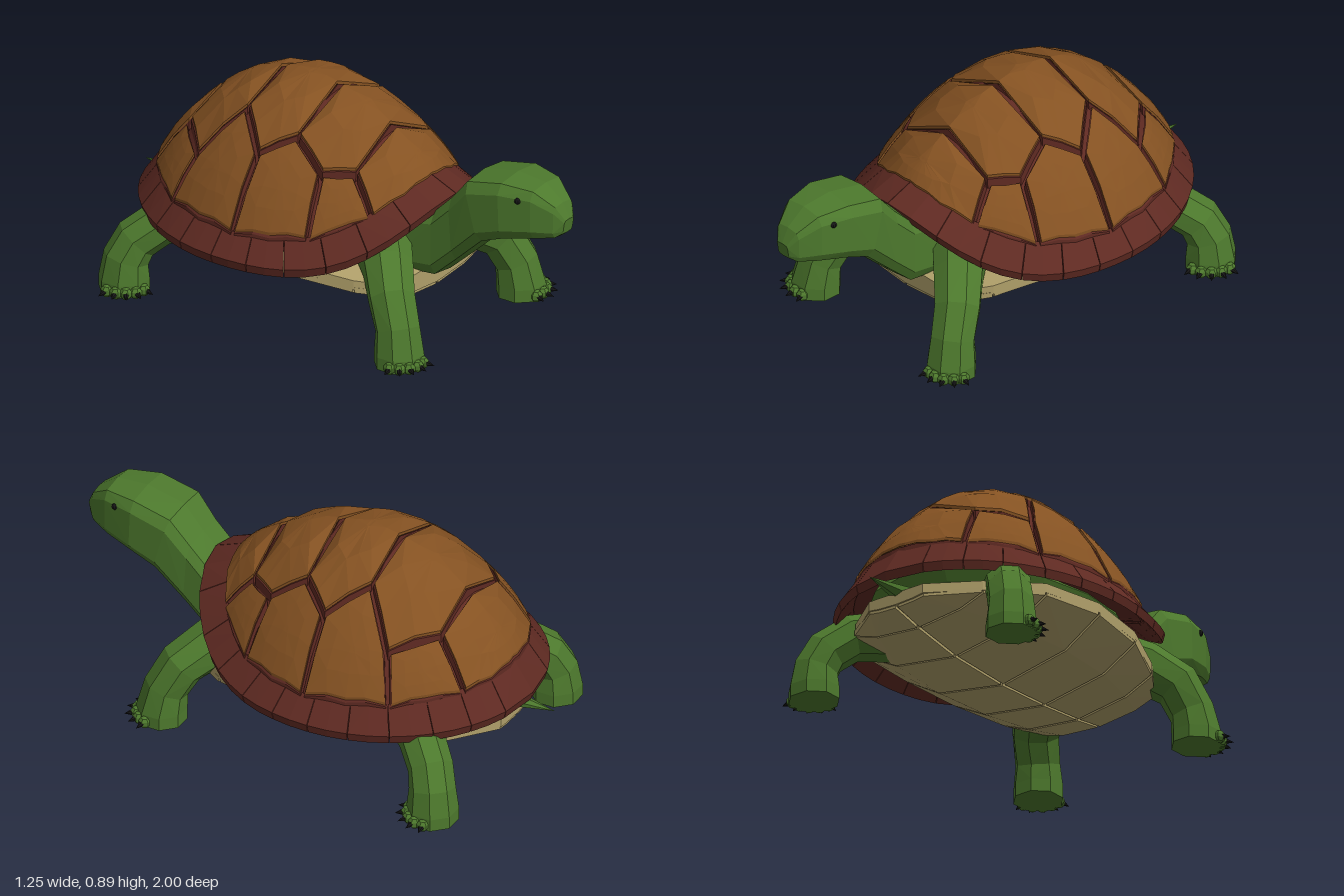
import * as THREE from 'three';

const V = (x, y, z) => new THREE.Vector3(x, y, z);
const mat = (name, color) => Object.assign(new THREE.MeshStandardMaterial({ color, flatShading: true }), { name });
const rad = THREE.MathUtils.degToRad;

// Skin over closed rings that run counter-clockwise about the direction of travel; capped at both ends.
// Each quad is split along the diagonal that bulges outward.
function loft(rings) {
  const pos = [];
  const tri = (...pts) => pts.forEach(p => pos.push(p.x, p.y, p.z));
  const centre = ring => ring.reduce((s, p) => s.add(p), V(0, 0, 0)).divideScalar(ring.length);
  const n = rings[0].length, last = rings[rings.length - 1];
  const c0 = centre(rings[0]), c1 = centre(last);
  for (let j = 0; j < n; j++) {
    const k = (j + 1) % n;
    for (let i = 0; i < rings.length - 1; i++) {
      const p = rings[i][j], q = rings[i][k], r = rings[i + 1][k], s = rings[i + 1][j];
      const normal = q.clone().sub(p).cross(s.clone().sub(p));
      if (normal.dot(r.clone().sub(p)) > 0) tri(p, q, r, p, r, s);
      else tri(p, q, s, q, r, s);
    }
    tri(rings[0][k], rings[0][j], c0);
    tri(last[j], last[k], c1);
  }
  const g = new THREE.BufferGeometry();
  g.setAttribute('position', new THREE.Float32BufferAttribute(pos, 3));
  g.computeVertexNormals();
  return g;
}

// Shell shape: elliptical plan, rim raised over the neck and slightly over the tail.
const CZ = -0.23, TOP = 0.88, WIDE = 0.533, FRONT = 0.6, REAR = 0.61;
const lift = (c, front, power, rear) => c > 0 ? front * c ** power : rear * c * c;
const baseY = c => 0.385 + lift(c, 0.2, 3.5, 0.06);
const outline = (phi, w, front, rear, k = 1) => {
  const c = Math.cos(phi);
  return [w * k * Math.sin(phi), CZ + k * c * (c > 0 ? front : rear)];
};
const domeEdge = (phi, k = 0.995) => outline(phi, WIDE, FRONT, REAR, k);
function domeY(x, z) {
  const X = x / WIDE, Z = (z - CZ) / (z > CZ ? FRONT : REAR);
  const r = Math.min(Math.hypot(X, Z), 1);
  const b = baseY(r > 0 ? Math.max(-1, Math.min(1, Z / r)) : 0);
  return b + (TOP - b) * (1 - r * r) ** 0.87;
}

// One horn plate and the dark border below it, raised from the dome, from its corners in plan.
function scute(corners) {
  const area = corners.reduce((s, [x, z], i) => {
    const [x2, z2] = corners[(i + 1) % corners.length];
    return s + z * x2 - x * z2;
  }, 0);
  const pts = area > 0 ? corners : [...corners].reverse();
  const cx = pts.reduce((s, p) => s + p[0], 0) / pts.length;
  const cz = pts.reduce((s, p) => s + p[1], 0) / pts.length;
  const ring = (t, inset, dy) => pts.flatMap(([x, z], i) => {
    const [x2, z2] = pts[(i + 1) % pts.length];
    return [0, 0.5].map(k => {
      const dx = x + (x2 - x) * k - cx, dz = z + (z2 - z) * k - cz;
      const f = t * (1 - inset / Math.hypot(dx, dz));
      return V(cx + dx * f, domeY(cx + dx * f, cz + dz * f) + dy, cz + dz * f);
    });
  });
  return {
    border: loft([ring(1, 0.008, -0.045), ring(1, 0.01, -0.008)]),
    plate: loft([ring(1, 0.015, -0.01), ring(1, 0.015, 0.002), ring(0.55, 0.015, 0.004), ring(0.08, 0.015, 0.004)]),
  };
}

export function createModel() {
  const model = new THREE.Group();
  const skin = mat('green skin', 0x4d792d), brown = mat('brown shell', 0x855222);
  const red = mat('red brown rim', 0x5f2a22), cream = mat('cream underside', 0xb0a06a);
  const black = mat('black', 0x151515);
  const add = (name, geo, material, parent = model) => {
    const m = new THREE.Mesh(geo, material);
    m.name = name;
    parent.add(m);
    return m;
  };
  const group = name => {
    const g = new THREE.Group();
    g.name = name;
    model.add(g);
    return g;
  };

  // Dark dome seen in the grooves between the scutes
  add('shellCore', loft([1, 0.95, 0.88, 0.78, 0.65, 0.5, 0.3, 0.12].map(r =>
    Array.from({ length: 40 }, (_, i) => {
      const [x, z] = domeEdge(i / 40 * Math.PI * 2, r);
      return V(x * 0.965, domeY(x, z) - 0.028, CZ + (z - CZ) * 0.965);
    }))), red);

  // Scutes: five along the spine, four down each side
  const E = d => domeEdge(rad(d));
  const both = half => [...half, ...half.map(([x, z]) => [-x, z]).reverse()];
  const a = [0.24, 0.17], b = [0.31, 0.06], c = [0.27, -0.08], d = [0.36, -0.2];
  const e = [0.24, -0.34], f = [0.37, -0.48], g = [0.22, -0.63];
  const scutes = group('scutes');
  const addScute = (name, corners) => {
    const { border, plate } = scute(corners);
    add(name + 'Border', border, red, scutes);
    add(name, plate, brown, scutes);
  };
  [[a, E(32), E(18), E(4)], [a, b, c], [c, d, e], [e, f, g], [g, E(150), E(163), E(176)]]
    .forEach(half => addScute('spineScute', both(half)));
  [[a, b, E(57), E(45), E(32)], [b, c, d, E(87), E(72), E(57)],
    [d, e, f, E(120), E(104), E(87)], [f, g, E(150), E(135), E(120)]].forEach(side => {
    for (const s of [1, -1]) addScute('sideScute', side.map(([x, z]) => [x * s, z]));
  });

  // Rim plates with hairline gaps
  const rim = group('rim');
  const half = [0, 22, 38, 52, 66, 79, 92, 106, 120, 135, 149, 164];
  const stops = [...half, ...half.slice(1).reverse().map(v => 360 - v), 360];
  const rimRing = deg => {
    const phi = rad(deg), co = Math.cos(phi);
    const [ix, iz] = domeEdge(phi, 0.965), [ox, oz] = outline(phi, 0.587, 0.695, 0.675);
    const iy = baseY(co) + 0.022, oy = 0.285 + lift(co, 0.24, 4.2, 0.02);
    return [V(ix, iy, iz), V(ox, oy + 0.035, oz), V(ox * 0.985, oy, CZ + (oz - CZ) * 0.985), V(ix, iy - 0.055, iz)];
  };
  for (let i = 0; i < stops.length - 1; i++) {
    const p = stops[i] + 0.12, q = stops[i + 1] - 0.12;
    add('rimPlate', loft([p, (p + q) / 2, q].map(rimRing)), red, rim);
  }

  // Underside: a shallow slab with paired plates below it [z, half width, middle y, edge y]
  const rows = [[0.38, 0.27, 0.155, 0.2], [0.25, 0.36, 0.14, 0.22], [0.05, 0.44, 0.128, 0.255],
    [-0.2, 0.47, 0.123, 0.275], [-0.48, 0.44, 0.14, 0.265], [-0.7, 0.31, 0.18, 0.235], [-0.84, 0.13, 0.215, 0.225]];
  const under = group('underside');
  const bend = (k, y) => k + (y - k) * 0.35;
  add('undersideSlab', loft(rows.map(([z, w, k, y]) => [V(-w, y + 0.05, z), V(w, y + 0.05, z), V(w, y + 0.012, z),
    V(0.65 * w, bend(k, y) + 0.012, z), V(0, k + 0.012, z), V(-0.65 * w, bend(k, y) + 0.012, z), V(-w, y + 0.012, z)])), cream, under);
  const plateRing = ([, w, k, y], z, s) => {
    const low = [[w, y], [0.65 * w, bend(k, y)], [0.006, k]].map(([x, h]) => V(x * s, h, z));
    const ring = [...low.map(p => p.clone().setY(p.y + 0.022)).reverse(), ...low];
    return s > 0 ? ring : ring.reverse();
  };
  for (let i = 0; i < rows.length - 1; i++) {
    for (const s of [1, -1]) {
      add('undersidePlate', loft([plateRing(rows[i], rows[i][0] - 0.005, s),
        plateRing(rows[i + 1], rows[i + 1][0] + 0.005, s)]), cream, under);
    }
  }

  // Body inside the shell
  const body = add('body', new THREE.SphereGeometry(1, 16, 10).toNonIndexed(), skin);
  body.scale.set(0.44, 0.14, 0.57);
  body.position.set(0, 0.36, CZ);

  // Neck and head [top z, top y, bottom z, bottom y, half width]
  const boxy = v => Math.sign(v) * Math.abs(v) ** 0.45;
  const neck = [[0.22, 0.49, 0.28, 0.23, 0.14], [0.44, 0.53, 0.44, 0.24, 0.13], [0.52, 0.61, 0.54, 0.33, 0.13],
    [0.6, 0.705, 0.67, 0.45, 0.142], [0.76, 0.74, 0.77, 0.49, 0.14], [0.89, 0.73, 0.89, 0.515, 0.105],
    [0.97, 0.67, 0.965, 0.53, 0.062], [1.0, 0.61, 0.99, 0.55, 0.03]];
  add('neckAndHead', loft(neck.map(([tz, ty, bz, by, w]) => Array.from({ length: 10 }, (_, i) => {
    const t = (i + 0.5) / 10 * Math.PI * 2, v = (boxy(Math.sin(t)) + 1) / 2;
    return V(w * boxy(Math.cos(t)), by + (ty - by) * v, bz + (tz - bz) * v);
  }))), skin);
  for (const s of [1, -1]) {
    const eye = add(s > 0 ? 'leftEye' : 'rightEye', new THREE.SphereGeometry(0.013, 8, 6), black);
    eye.position.set(0.113 * s, 0.68, 0.84);
  }

  // Legs: rings [x, y, z, radius] from shoulder to sole, then toes and claws
  const UP = V(0, 1, 0);
  const spike = (name, base, dir, r, len, material, parent) => {
    const m = add(name, new THREE.ConeGeometry(r, len, 6), material, parent);
    m.quaternion.setFromUnitVectors(UP, dir);
    m.position.copy(base).addScaledVector(dir, len / 2);
    return m;
  };
  function leg(name, path, heading, s) {
    const limb = group(name);
    const pts = path.map(([x, y, z]) => V(x * s, y, z));
    add('limb', loft(pts.map((p, i) => {
      const n = pts.length - 1;
      const dir = i >= n - 1 ? V(0, -1, 0) : pts[i + 1].clone().sub(pts[Math.max(i - 1, 0)]).normalize();
      const q = new THREE.Quaternion().setFromUnitVectors(V(0, -1, 0), dir);
      return Array.from({ length: 8 }, (_, k) => {
        const t = (k + 0.5) / 8 * Math.PI * 2;
        return V(Math.cos(t), 0, Math.sin(t)).multiplyScalar(path[i][3]).applyQuaternion(q).add(p);
      });
    })), skin, limb);
    const foot = pts[pts.length - 1], r = path[path.length - 1][3];
    for (let k = -2; k <= 2; k++) {
      const t = rad(heading + k * 23), dir = V(Math.sin(t) * s, 0, Math.cos(t));
      const toe = add('toe', new THREE.SphereGeometry(0.025, 6, 5), skin, limb);
      toe.position.copy(foot).addScaledVector(dir, r * 0.97).setY(0.022);
      spike('claw', toe.position.clone().addScaledVector(dir, 0.012), V(dir.x, -0.2, dir.z).normalize(), 0.014, 0.036, black, limb);
    }
  }
  for (const s of [1, -1]) {
    const side = s > 0 ? 'left' : 'right';
    leg(side + 'FrontLeg', [[0.12, 0.35, 0.2, 0.12], [0.26, 0.31, 0.34, 0.1], [0.345, 0.24, 0.42, 0.092],
      [0.375, 0.14, 0.47, 0.088], [0.385, 0.05, 0.485, 0.098], [0.385, 0, 0.485, 0.098]], 30, s);
    leg(side + 'HindLeg', [[0.25, 0.29, -0.5, 0.1], [0.38, 0.27, -0.635, 0.09], [0.445, 0.2, -0.71, 0.088],
      [0.475, 0.13, -0.735, 0.09], [0.48, 0.05, -0.74, 0.1], [0.48, 0, -0.74, 0.1]], 50, s);
  }

  // Tail, flattened
  spike('tail', V(0, 0.285, -0.66), V(0, 0, -1), 0.08, 0.34, skin, model).scale.z = 0.6;
  return model;
}
